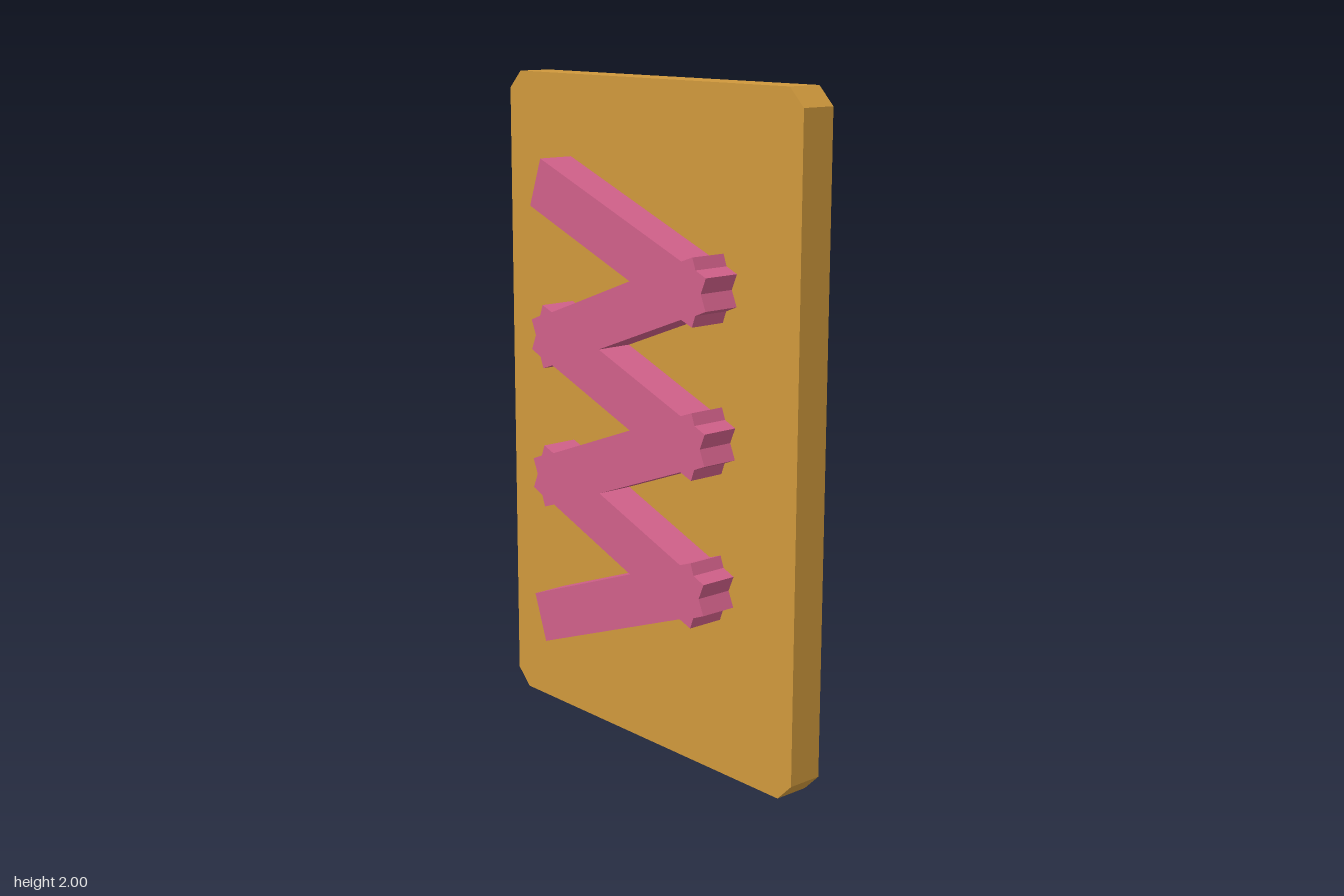
import * as THREE from 'three';

const BACK = -0.113, SEAM = -0.003, FRONT = 0.113;

// Straight extrusion of an outline between two depths
function slab(name, points, z0, z1, material) {
  const shape = new THREE.Shape(points.map(([x, y]) => new THREE.Vector2(x, y)));
  const geometry = new THREE.ExtrudeGeometry(shape, { depth: z1 - z0, bevelEnabled: false });
  geometry.translate(0, 0, z0);
  const mesh = new THREE.Mesh(geometry, material);
  mesh.name = name;
  return mesh;
}

// Notched tip where two square-ended bars cross; side is +1 or -1,
// and the points run counter-clockwise around the zigzag
function elbow(side, y) {
  const half = [[0.29, -0.081], [0.335, -0.097], [0.348, -0.063], [0.39, -0.046]];
  const upper = half.map(([x, dy]) => [x, -dy]).reverse();
  return [...half, [0.37, 0], ...upper].map(([x, dy]) => [side * x, y + side * dy]);
}

export function createModel() {
  const ochre = new THREE.MeshStandardMaterial({ color: 0xcf983c });
  ochre.name = 'ochre';
  const pink = new THREE.MeshStandardMaterial({ color: 0xd06089 });
  pink.name = 'pink';

  const group = new THREE.Group();
  group.name = 'zigzagPanel';

  // Board with clipped corners
  const w = 0.635, h = 2, c = 0.053;
  group.add(slab('board', [
    [-w + c, 0], [w - c, 0], [w, c], [w, h - c],
    [w - c, h], [-w + c, h], [-w, h - c], [-w, c],
  ], BACK, SEAM, ochre));

  // Raised zigzag of six bars
  const mid = 1.003, step = 0.2175, inner = 0.07;
  const y = (i) => mid + i * step;
  group.add(slab('zigzag', [
    [-0.338, 0.25],
    ...elbow(1, y(-2)), [-inner, y(-1)],
    ...elbow(1, y(0)), [-inner, y(1)],
    ...elbow(1, y(2)),
    [-0.338, 1.756], [-0.39, 1.612],
    [inner, y(2)], ...elbow(-1, y(1)),
    [inner, y(0)], ...elbow(-1, y(-1)),
    [inner, y(-2)], [-0.39, 0.394],
  ], SEAM, FRONT, pink));

  return group;
}
